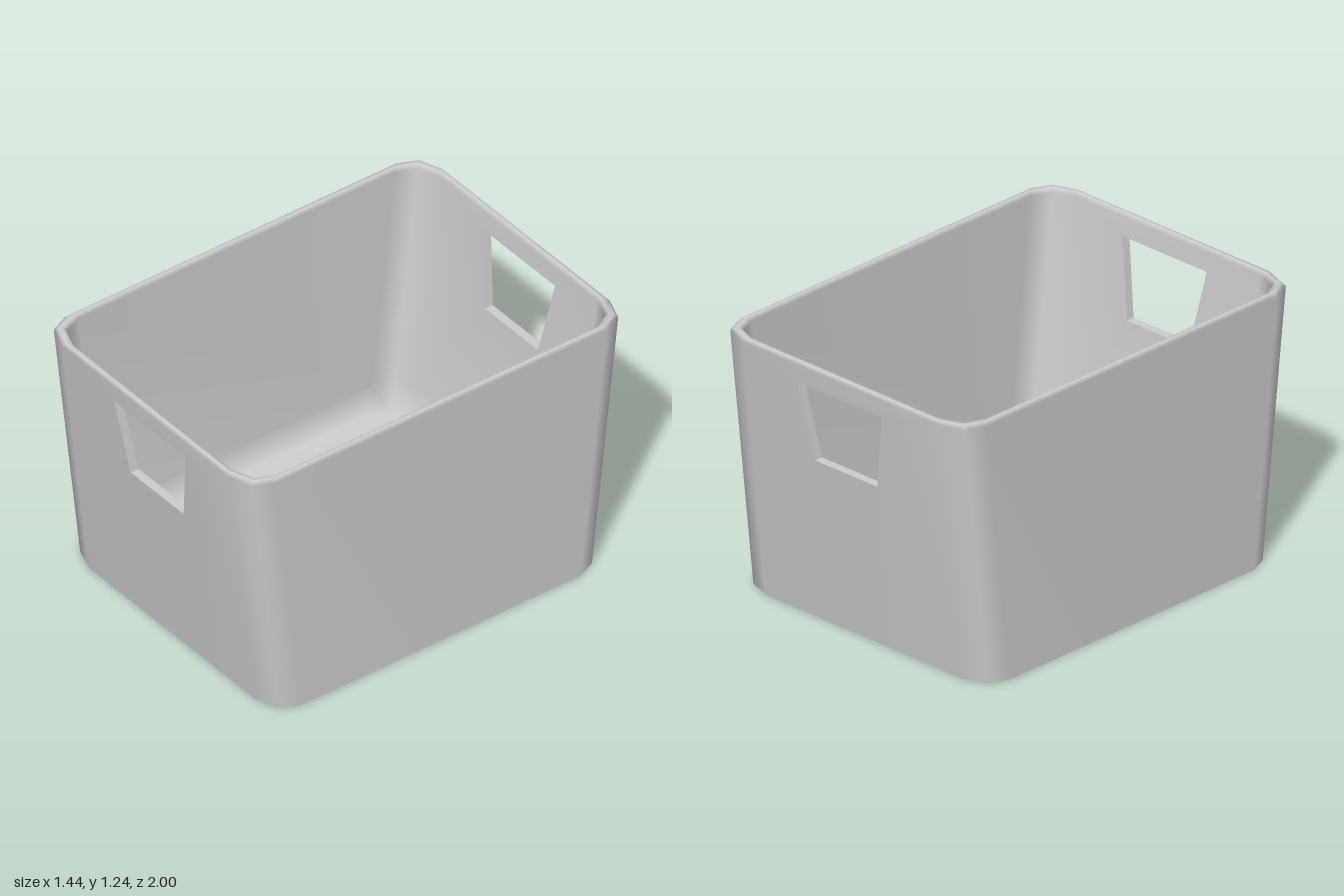
import * as THREE from 'three';

const HEIGHT = 1.235, TAPER = 0.14;
const lean = (y) => TAPER * (1 - y / HEIGHT); // end walls lean outwards towards the top

// Wall profile as [height, inset]: outside, rolled rim, inside, floor edge
const PROFILE = [[0, 0], [1.22, 0], [1.235, 0.012], [1.235, 0.028], [1.22, 0.04], [0.17, 0.04], [0.08, 0.11]];
const OUTER = 0, INNER = 4; // profile bands pierced by the grips
// Grip opening, counter-clockwise seen from the front
const GRIP = [[0.195, 0.78], [0.26, 1.135], [-0.23, 1.135], [-0.165, 0.78]];

// Rounded-rectangle outline, twelve points from +x round through +z
function outline(y, inset) {
  const corner = [[0.72, 0.87], [0.68, 0.96], [0.57, 1]].map(([x, z]) => [x - inset, z - inset - lean(y)]);
  const back = [...corner].reverse();
  return [
    ...corner,
    ...back.map(([x, z]) => [-x, z]),
    ...corner.map(([x, z]) => [-x, -z]),
    ...back.map(([x, z]) => [x, -z]),
  ].map(([x, z]) => [x, y, z]);
}

// Grip corners on the front (side 1) or back (side -1) wall
function gripCorners(side, inset) {
  const pts = GRIP.map(([x, y]) => [x, y, side * (1 - inset - lean(y))]);
  return side > 0 ? pts : [pts[3], pts[2], pts[1], pts[0]];
}

function makeGeometry(points, index) {
  const g = new THREE.BufferGeometry();
  g.setAttribute('position', new THREE.Float32BufferAttribute(points.flat(), 3));
  g.setIndex(index);
  return g;
}

export function createModel() {
  const group = new THREE.Group();
  group.name = 'storageBin';
  const material = new THREE.MeshStandardMaterial({ color: 0xcccccc, side: THREE.DoubleSide });

  // Shell: outer wall, rim, inner wall and raised floor in one smooth skin
  const points = PROFILE.flatMap(([y, inset]) => outline(y, inset));
  const index = [];
  const quad = (a, b, c, d) => index.push(a, b, c, a, c, d);
  const N = 12;
  for (let j = 0; j < PROFILE.length - 1; j++) {
    for (let i = 0; i < N; i++) {
      const n = (i + 1) % N;
      const c = [j * N + i, (j + 1) * N + i, (j + 1) * N + n, j * N + n];
      const pierced = (j === OUTER || j === INNER) && (i === 2 || i === 8);
      if (!pierced) {
        quad(...c);
        continue;
      }
      // Wall panel framed around the grip opening
      let h = gripCorners(i === 2 ? 1 : -1, PROFILE[j][1]);
      if (j === INNER) h = [h[1], h[0], h[3], h[2]];
      const s = points.length;
      points.push(...h);
      for (let k = 0; k < 4; k++) {
        const m = (k + 1) % 4;
        quad(c[k], c[m], s + m, s + k);
      }
    }
  }
  // Floor
  const last = (PROFILE.length - 1) * N;
  const centre = points.push([0, 0.08, 0]) - 1;
  for (let i = 0; i < N; i++) index.push(last + i, centre, last + ((i + 1) % N));
  const shellGeometry = makeGeometry(points, index);
  shellGeometry.computeVertexNormals();
  const shell = new THREE.Mesh(shellGeometry, material);
  shell.name = 'binShell';
  group.add(shell);

  // Cut edges of the grip openings, through the wall thickness
  for (const side of [1, -1]) {
    const pts = [...gripCorners(side, 0), ...gripCorners(side, 0.04)];
    const idx = [];
    for (let k = 0; k < 4; k++) {
      const m = (k + 1) % 4;
      idx.push(k, m, m + 4, k, m + 4, k + 4);
    }
    const g = makeGeometry(pts, idx).toNonIndexed();
    g.computeVertexNormals();
    const edge = new THREE.Mesh(g, material);
    edge.name = side > 0 ? 'frontGripEdge' : 'backGripEdge';
    group.add(edge);
  }
  return group;
}
